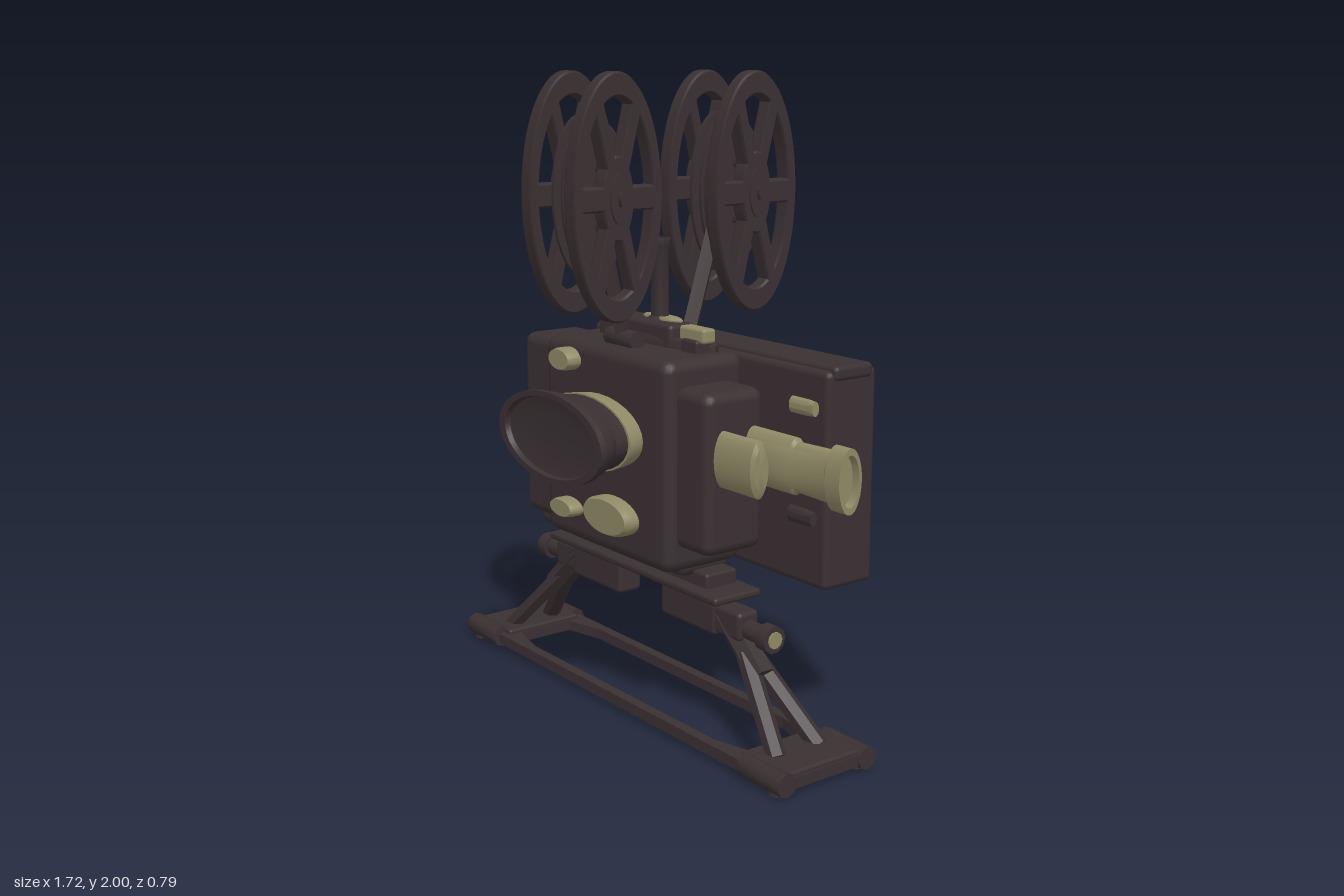
import * as THREE from 'three';
import { toCreasedNormals } from 'three/addons/utils/BufferGeometryUtils.js';
import { RoundedBoxGeometry } from 'three/addons/geometries/RoundedBoxGeometry.js';

const dark = new THREE.MeshStandardMaterial({ color: 0x3a3032 });
dark.name = 'darkMetal';
const brass = new THREE.MeshStandardMaterial({ color: 0x8f8966 });
brass.name = 'dullBrass';

export function createModel() {
  const model = new THREE.Group();
  model.name = 'filmProjector';
  const V = (p) => new THREE.Vector3(...p);

  function add(name, geo, mat = dark, parent = model) {
    const m = new THREE.Mesh(geo, mat);
    m.name = name;
    parent.add(m);
    return m;
  }
  // rounded box given by its extents on each axis
  function box(name, [x0, x1], [y0, y1], [z0, z1], r = 0.02, mat = dark) {
    const m = add(name, new RoundedBoxGeometry(x1 - x0, y1 - y0, z1 - z0, 2, r), mat);
    m.position.set((x0 + x1) / 2, (y0 + y1) / 2, (z0 + z1) / 2);
    return m;
  }
  // turned part: profile of [radius, distance], along an axis, with oval scaling
  function turned(name, profile, axis, pos, a, b, mat = dark) {
    let g = new THREE.LatheGeometry(profile.map((p) => new THREE.Vector2(...p)), 28);
    if (axis === 'x') g.rotateZ(-Math.PI / 2).scale(1, a, b); // a: height, b: depth
    if (axis === 'y') g.scale(a, 1, b);
    if (axis === 'z') g.rotateX(Math.PI / 2).scale(a, b, 1);
    const m = add(name, toCreasedNormals(g, 0.6), mat);
    m.position.set(...pos);
    return m;
  }
  // straight bar between two points
  function bar(name, from, to, r, sides = 8, mat = dark, parent = model) {
    const a = V(from), d = V(to).sub(a);
    const g = toCreasedNormals(new THREE.CylinderGeometry(r, r, d.length(), sides), 0.9);
    const m = add(name, g, mat, parent);
    m.position.copy(a).addScaledVector(d, 0.5);
    m.quaternion.setFromUnitVectors(new THREE.Vector3(0, 1, 0), d.normalize());
    return m;
  }
  function cable(name, pts, r = 0.011) {
    add(name, new THREE.TubeGeometry(new THREE.CatmullRomCurve3(pts.map(V)), 48, r, 6));
  }
  const button = (d, r = 1) => [[0, 0], [r, 0], [r, d * 0.7], [r * 0.88, d], [0, d]];

  // main housing and its side housings
  box('mainHousing', [-0.34, 0.31], [0.53, 1.18], [-0.1, 0.2], 0.04);
  box('leftHousing', [-0.56, -0.28], [0.54, 1.15], [-0.08, 0.14], 0.035);
  box('rightHousing', [0.25, 0.45], [0.61, 1.1], [-0.06, 0.16], 0.035);
  box('lowerHousing', [-0.5, 0.28], [0.5, 0.62], [-0.08, 0.12], 0.03);
  box('backCase', [-0.545, 0.63], [0.5, 1.16], [-0.335, -0.14], 0.02);
  box('caseLid', [-0.53, 0.64], [1.13, 1.175], [-0.31, -0.16], 0.015);

  // oval lamp cover on the front
  turned('lampNeck', [[0, 0], [0.8, 0], [0.84, 0.06], [0, 0.06]], 'z',
    [-0.03, 0.92, 0.195], 0.28, 0.14, brass);
  turned('lampCover', [[0, 0.04], [0.8, 0.04], [0.82, 0.1], [0.92, 0.13], [0.95, 0.165], [1, 0.17],
    [1, 0.19], [0.88, 0.19], [0.85, 0.175], [0.5, 0.165], [0, 0.175]], 'z',
    [-0.03, 0.92, 0.2], 0.28, 0.14);

  // brass knobs on the front
  for (const [x, y, a, b] of [[-0.19, 1.12, 0.062, 0.036], [-0.19, 0.64, 0.066, 0.03], [0.05, 0.665, 0.125, 0.06]]) {
    turned('frontKnob', button(0.05), 'z', [x, y, 0.195], a, b, brass);
  }

  // projection lens and viewfinder tube on the left end
  turned('projectionLens', [[0, 0], [0.085, 0], [0.085, 0.2], [0.074, 0.21], [0.078, 0.35], [0.095, 0.36],
    [0.095, 0.42], [0.075, 0.42], [0.07, 0.395], [0, 0.395]], 'x', [0.44, 0.905, -0.015], 1, 0.45, brass);
  turned('finderTube', [[0, 0], [0.085, 0], [0.085, 0.17], [0.065, 0.18], [0, 0.18]], 'x',
    [0.44, 0.905, 0.1], 1, 0.4, brass);
  for (const y of [1.05, 0.72]) {
    turned('endKnob', button(0.1, 0.025), 'x', [0.5, y, -0.12], 1, 0.6, y > 1 ? brass : dark);
  }

  // brass fittings on the right end
  turned('endCap', [[0, 0], [0.085, 0], [0.085, -0.1], [0, -0.1]].reverse(), 'x',
    [-0.56, 0.865, -0.01], 1, 0.45, brass);
  turned('smallEndKnob', [[0, -0.05], [0.022, -0.05], [0.022, 0], [0, 0]], 'x',
    [-0.56, 0.69, 0], 1, 0.6, brass);

  // roof plate, chimney and roof fittings
  turned('roofPlate', [[0, 0], [1, 0], [1, 0.03], [0.93, 0.04], [0, 0.04]], 'y',
    [0, 1.17, -0.015], 0.27, 0.07);
  box('roofBlock', [-0.25, 0.13], [1.17, 1.25], [-0.05, 0.05], 0.015);
  turned('roofCap', button(0.02), 'y', [0.01, 1.24, -0.015], 0.095, 0.028, brass);
  turned('chimney', [[0, 0], [0.04, 0], [0.04, 0.04], [0.027, 0.05], [0.027, 0.26], [0.032, 0.27],
    [0.032, 0.29], [0.022, 0.29], [0.022, 0.22], [0, 0.22]], 'y', [0, 1.21, -0.01], 1.1, 1);
  box('roofLatch', [0.16, 0.28], [1.21, 1.255], [-0.01, 0.04], 0.01, brass);
  box('latchFoot', [0.18, 0.26], [1.16, 1.22], [-0.02, 0.05], 0.01);

  // spoked reel side with six windows
  const wheel = new THREE.Shape();
  wheel.absarc(0, 0, 0.36, 0, Math.PI * 2);
  for (let i = 0; i < 6; i++) {
    const a = (i + 0.5) * Math.PI / 3, hole = new THREE.Path();
    hole.absarc(0, 0, 0.3, a - 0.42, a + 0.42, false);
    hole.absarc(0, 0, 0.12, a + 0.27, a - 0.27, true);
    hole.closePath();
    wheel.holes.push(hole);
  }
  const wheelGeo = toCreasedNormals(new THREE.ExtrudeGeometry(wheel, {
    depth: 0.04, bevelEnabled: true, bevelSize: 0.006, bevelThickness: 0.008, bevelSegments: 1, curveSegments: 32,
  }).translate(0, 0, -0.02).rotateY(Math.PI / 2), 0.6);

  // two oval film reels, front and back
  for (const [name, z, x0, x1] of [['frontReel', 0.235, -0.13, 0.1], ['backReel', -0.245, -0.08, 0.155]]) {
    const reel = new THREE.Group();
    reel.name = name;
    reel.position.set(0, 1.64, z);
    reel.scale.z = 0.43;
    model.add(reel);
    for (const x of [x0, x1]) {
      add('reelSide', wheelGeo, dark, reel).position.x = x;
      bar('reelHub', [x - 0.035, 0, 0], [x + 0.035, 0, 0], 0.075, 20, dark, reel);
    }
    for (let i = 0; i < 4; i++) {
      const x = (x0 + x1) / 2 - 0.052 + i * 0.035;
      bar('filmDisc', [x - 0.006, 0, 0], [x + 0.006, 0, 0], 0.24 - 0.02 * (i % 2), 32, dark, reel);
    }
    for (let i = 0; i < 3; i++) {
      const a = i * Math.PI * 2 / 3 + 0.5, y = Math.cos(a) * 0.1, w = Math.sin(a) * 0.1;
      bar('spacerRod', [x0, y, w], [x1, y, w], 0.014, 8, dark, reel);
    }
    bar('reelAxle', [x0 - 0.07, 0, 0], [x1 + 0.05, 0, 0], 0.022, 10, dark, reel);
  }
  bar('frontReelArm', [-0.01, 1.15, 0.11], [-0.01, 1.64, 0.225], 0.026, 4);
  bar('backReelArm', [0.03, 1.13, -0.08], [0.03, 1.64, -0.235], 0.03, 4);
  bar('frontArmFoot', [-0.08, 1.2, 0.12], [0.06, 1.2, 0.12], 0.03);
  bar('backArmFoot', [-0.06, 1.18, -0.08], [0.11, 1.18, -0.08], 0.03);

  // mounting plates and pedestal blocks
  box('mountPlate', [-0.46, 0.43], [0.45, 0.475], [-0.07, 0.11], 0.01);
  box('mountRiser', [-0.36, 0.34], [0.465, 0.52], [-0.05, 0.07], 0.01);

  // ground frame with wide ends
  const frame = new THREE.Shape();
  [[-0.85, -0.155], [0.82, -0.155], [0.82, 0.185], [-0.85, 0.185]]
    .forEach((p, i) => (i ? frame.lineTo(...p) : frame.moveTo(...p)));
  const gap = new THREE.Path();
  [[-0.64, -0.085], [-0.64, 0.115], [-0.5, 0.15], [0.48, 0.15], [0.62, 0.115], [0.62, -0.085], [0.48, -0.12], [-0.5, -0.12]]
    .forEach((p, i) => (i ? gap.lineTo(...p) : gap.moveTo(...p)));
  frame.holes.push(gap);
  add('groundFrame', new THREE.ExtrudeGeometry(frame, { depth: 0.035, bevelEnabled: false })
    .rotateX(Math.PI / 2)).position.y = 0.063;

  // legs, mirrored left and right
  for (const s of [-1, 1]) {
    const c = -0.015;
    const X = (v) => c + s * v;
    const span = (a, b) => [Math.min(X(a), X(b)), Math.max(X(a), X(b))];
    box('pedestalBlock', span(0.11, 0.38), [0.33, 0.455], [-0.03, 0.06], 0.015);
    box('legShoulder', span(0.34, 0.49), [0.34, 0.43], [-0.025, 0.055], 0.015);
    bar('legPivot', [X(0.42), 0.375, 0.015], [X(0.57), 0.375, 0.015], 0.03, 10);
    bar('pivotKnob', [X(0.56), 0.375, 0.015], [X(0.605), 0.375, 0.015], 0.042, 10);
    bar('pivotTip', [X(0.6), 0.375, 0.015], [X(0.61), 0.375, 0.015], 0.026, 10, brass);
    bar('upperLeg', [X(0.38), 0.4, 0.015], [X(0.55), 0.245, 0.015], 0.043, 6);
    box('footPlate', span(0.63, 0.83), [0.05, 0.078], [-0.13, 0.16], 0.01);
    for (const t of [-1, 1]) {
      bar('lowerLeg', [X(0.49), 0.3, 0.015 + t * 0.012], [X(0.715), 0.065, 0.015 + t * 0.08], 0.03, 6);
      const z = 0.015 + t * 0.155;
      bar('footPad', [X(0.66), 0.05, z], [X(0.845), 0.05, z], 0.036, 8);
      bar('footPeg', [X(0.8), 0.01, z], [X(0.8), 0.045, z], 0.025, 8);
    }
  }

  // power cables and release lever
  cable('longCable', [[-0.57, 0.79, -0.16], [-0.64, 0.76, -0.17], [-0.78, 0.64, -0.18], [-0.845, 0.52, -0.18],
    [-0.8, 0.4, -0.19], [-0.68, 0.32, -0.2], [-0.5, 0.29, -0.21], [-0.3, 0.31, -0.19], [-0.14, 0.35, -0.12], [-0.14, 0.46, -0.03]]);
  cable('sideCable', [[-0.53, 0.78, -0.2], [-0.6, 0.77, -0.22], [-0.625, 0.62, -0.24], [-0.61, 0.45, -0.25],
    [-0.57, 0.36, -0.28], [-0.5, 0.4, -0.34], [-0.46, 0.6, -0.37], [-0.42, 0.9, -0.36], [-0.38, 1.08, -0.33]]);
  cable('backCable', [[-0.33, 1.02, -0.33], [-0.42, 0.95, -0.37], [-0.52, 0.82, -0.385], [-0.59, 0.65, -0.38],
    [-0.61, 0.5, -0.35], [-0.6, 0.37, -0.25], [-0.59, 0.42, -0.15], [-0.58, 0.52, -0.1], [-0.53, 0.6, -0.05]]);
  cable('releaseLever', [[-0.1, 0.45, -0.04], [-0.05, 0.41, -0.08], [0, 0.36, -0.1], [0.05, 0.365, -0.11]], 0.013);

  return model;
}
